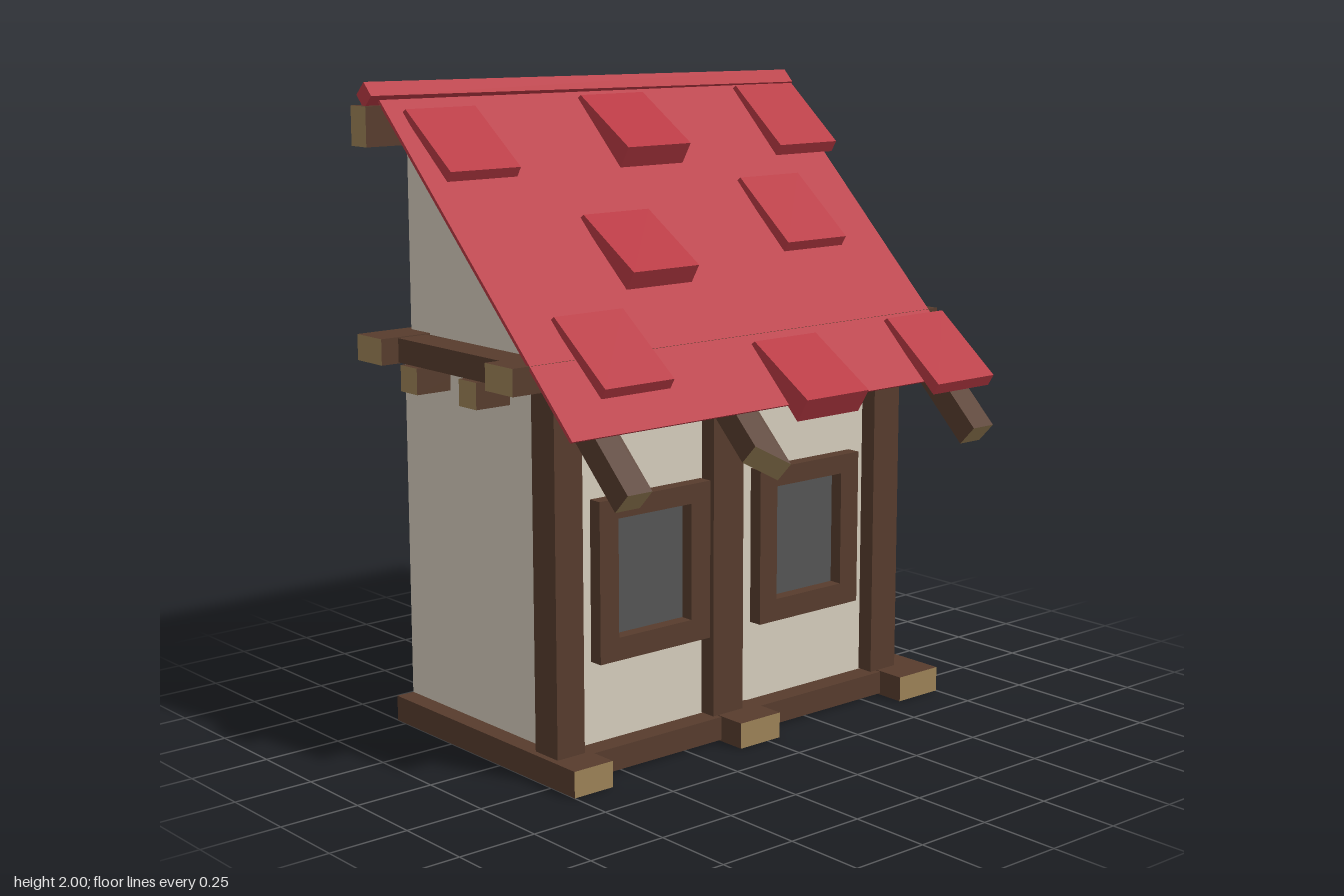
import * as THREE from 'three';

const mat = (name, color) => {
  const m = new THREE.MeshStandardMaterial({ color });
  m.name = name;
  return m;
};

export function createModel() {
  const root = new THREE.Group();
  root.name = 'leanToHouse';
  const wood = mat('darkWood', 0x573c2d);
  const endGrain = mat('endGrain', 0x9c8257);
  const plaster = mat('plaster', 0xd6cdbd);
  const tile = mat('redTile', 0xb93943);
  const glass = mat('windowGlass', 0x555555);

  const add = (name, geo, material, parent = root) => {
    const m = new THREE.Mesh(geo, material);
    m.name = name;
    parent.add(m);
    return m;
  };
  // Box given by its limits on each axis
  const block = (name, material, x0, x1, y0, y1, z0, z1) => {
    const m = add(name, new THREE.BoxGeometry(x1 - x0, y1 - y0, z1 - z0), material);
    m.position.set((x0 + x1) / 2, (y0 + y1) / 2, (z0 + z1) / 2);
    return m;
  };
  // Shape in the xy plane, extruded from z0 to z1
  const slab = (name, material, pts, z0, z1) => {
    const shape = new THREE.Shape(pts.map(p => new THREE.Vector2(...p)));
    const geo = new THREE.ExtrudeGeometry(shape, { depth: z1 - z0, bevelEnabled: false });
    geo.translate(0, 0, z0);
    return add(name, geo, material);
  };
  // Box face order: +x, -x, +y, -y, +z, -z
  const capX = [endGrain, endGrain, wood, wood, wood, wood];
  const capZ = [wood, wood, wood, wood, endGrain, endGrain];

  // Base: floor, sill and three cross beams
  block('floor', wood, -0.54, 0.2, 0.02, 0.05, -0.7, 0.7);
  block('sill', wood, 0.13, 0.27, 0.005, 0.078, -0.7, 0.7);
  for (const [z0, z1] of [[0.61, 0.75], [-0.05, 0.11], [-0.75, -0.58]])
    block('baseBeam', capX, -0.545, 0.36, 0, 0.08, z0, z1);

  // Posts
  for (const [z0, z1] of [[0.63, 0.73], [0.01, 0.13], [-0.66, -0.55]])
    block('post', wood, 0.15, 0.255, 0.08, 1.18, z0, z1);

  // Lower walls, with the -x side left open
  block('frontWall', plaster, -0.545, 0.19, 0.08, 1.17, 0.675, 0.69);
  block('backWall', plaster, -0.545, 0.19, 0.08, 1.17, -0.65, -0.635);

  // Windowed wall with two openings
  const windows = [[0.135, 0.56], [-0.49, -0.07]];
  const rect = (T, a0, a1, b0, b1) => new T([[a0, b0], [a1, b0], [a1, b1], [a0, b1]]
    .map(p => new THREE.Vector2(...p)));
  const sideExtrude = (name, shape, depth, x, material) => {
    const geo = new THREE.ExtrudeGeometry(shape, { depth, bevelEnabled: false });
    geo.rotateY(Math.PI / 2); // shape x becomes -z
    geo.translate(x, 0, 0);
    add(name, geo, material);
  };
  const wall = rect(THREE.Shape, -0.68, 0.64, 0.06, 1.18);
  for (const [z0, z1] of windows)
    wall.holes.push(rect(THREE.Path, -z1 + 0.05, -z0 - 0.05, 0.38, 0.78));
  sideExtrude('windowWall', wall, 0.015, 0.185, plaster);
  for (const [z0, z1] of windows) {
    const frame = rect(THREE.Shape, -z1, -z0, 0.33, 0.82);
    frame.holes.push(rect(THREE.Path, -z1 + 0.07, -z0 - 0.075, 0.4, 0.76));
    sideExtrude('windowFrame', frame, 0.075, 0.17, wood);
    block('windowPane', glass, 0.195, 0.203, 0.39, 0.77, z0 + 0.06, z1 - 0.06);
  }

  // Upper floor with its beams and joists
  block('upperFloor', wood, -0.52, 0.2, 1.19, 1.225, -0.75, 0.75);
  for (const [x0, x1] of [[-0.545, -0.415], [0.11, 0.24]])
    block('floorBeam', capZ, x0, x1, 1.165, 1.245, -0.845, 0.86);
  for (const s of [-1, 1]) {
    block('crossBeam', wood, -0.42, 0.115, 1.168, 1.242, s * 0.75 - 0.05, s * 0.75 + 0.05);
    for (const x of [-0.39, -0.09])
      block('joist', capZ, x, x + 0.085, 1.085, 1.165, s * 0.68 - 0.13, s * 0.68 + 0.13);
  }
  block('sideJoist', capX, -0.565, -0.3, 1.08, 1.155, -0.53, -0.45);

  // Gables
  const gable = [[-0.515, 1.24], [0.13, 1.24], [-0.515, 1.87]];
  slab('frontGable', plaster, gable, 0.67, 0.685);
  slab('backGable', plaster, gable, -0.715, -0.7);

  // Rafters, the middle one cut at a slant
  const pitch = Math.atan(0.97), length = 1.44;
  for (const [z, slant] of [[0.668, 0], [0.145, 0.08], [-0.725, 0]]) {
    const geo = new THREE.BoxGeometry(length, 0.08, 0.088);
    const p = geo.attributes.position;
    for (let i = 0; i < p.count; i++)
      if (p.getX(i) > 0 && p.getZ(i) > 0) p.setX(i, p.getX(i) - slant);
    geo.computeVertexNormals();
    const r = add('rafter', geo, [endGrain, wood, wood, wood, wood, wood]);
    r.rotation.z = -pitch;
    r.position.set(0.016, 1.391, z);
  }
  block('ridgeBeam', capZ, -0.555, -0.475, 1.81, 1.93, -0.86, 0.855);

  // Roof sheet
  const roofY = x => 1.06 - 0.97 * (x - 0.43);
  slab('roof', tile, [[-0.52, roofY(-0.52) - 0.015], [0.42, roofY(0.42) - 0.015],
    [0.43, 1.06], [-0.52, roofY(-0.52)]], -0.805, 0.8);

  // Ridge cap: a bar on its edge, tipped a little
  const cap = add('ridgeCap', new THREE.BoxGeometry(0.056, 0.056, 1.7).rotateZ(Math.PI / 4), tile);
  cap.position.set(-0.51, 1.95, -0.013);
  cap.rotation.x = -0.011;
  cap.position.y = 1.951;

  // Raised tiles: upper x, lower x, lip height, end height, start z
  const tiles = [
    [-0.47, -0.23, 1.755, 0.035, -0.84], [0.25, 0.495, 1.06, 0.035, -0.84],
    [-0.19, 0.055, 1.48, 0.03, -0.61], [0.26, 0.51, 1.085, 0.07, -0.265],
    [-0.465, -0.21, 1.785, 0.065, -0.18], [-0.125, 0.13, 1.455, 0.055, 0.08],
    [0.13, 0.38, 1.18, 0.03, 0.39], [-0.45, -0.205, 1.75, 0.03, 0.49],
  ];
  for (const [x0, x1, y, h, z] of tiles)
    slab('raisedTile', tile, [[x0, roofY(x0) - 0.006], [x1 - h * 0.62, y - h],
      [x1, y], [x0 + 0.018, roofY(x0) + 0.006]], z, z + 0.253);

  return root;
}
